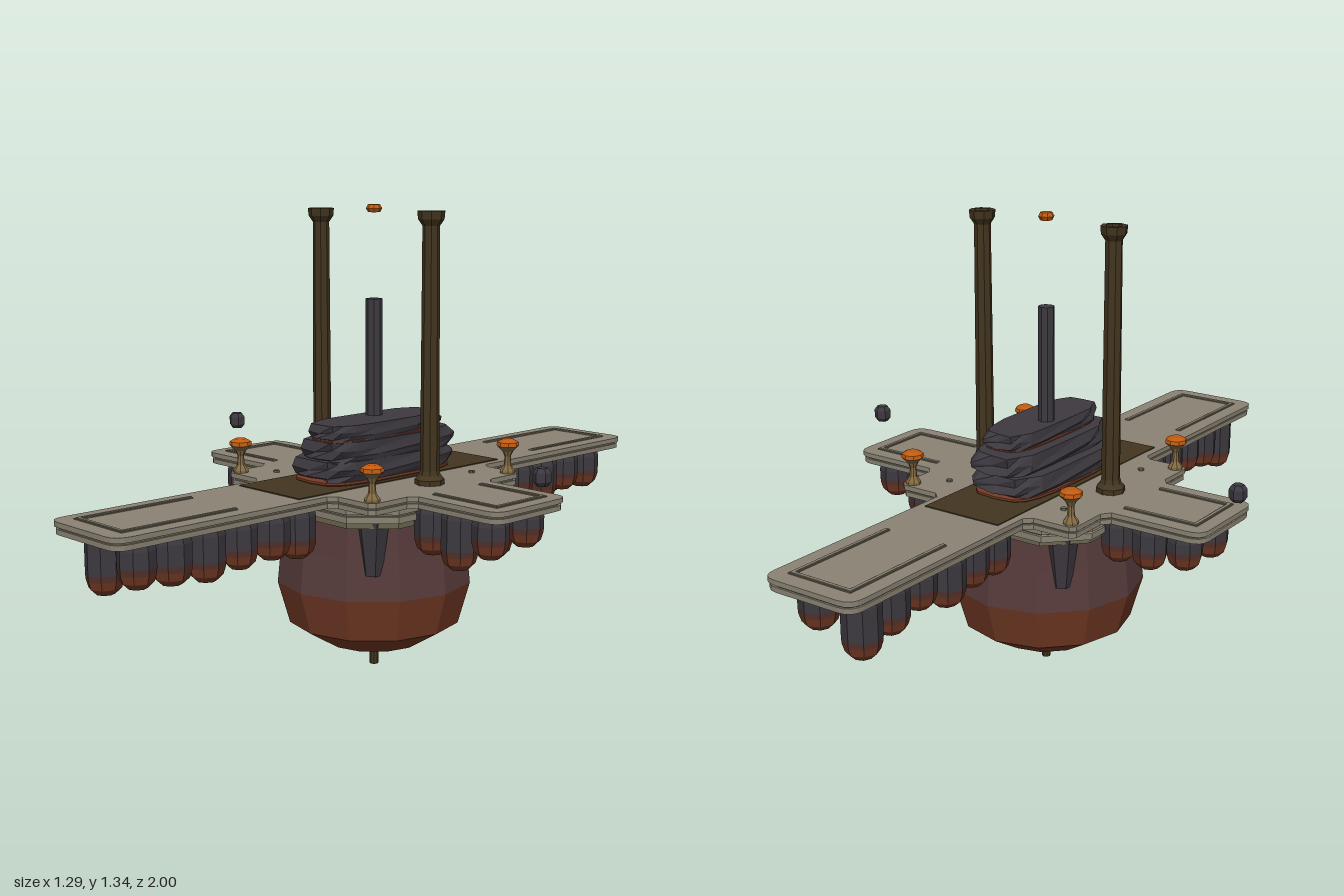
import * as THREE from 'three';

const mat = (name, color) => Object.assign(new THREE.MeshStandardMaterial({ color }), { name });

export function createModel() {
  const model = new THREE.Group();
  model.name = 'floatingPlatform';
  const stone = mat('stone', 0x8a8374), trim = mat('stoneTrim', 0x6c654f), rock = mat('darkRock', 0x3d3940);
  const rust = mat('rust', 0x743a24), maroon = mat('maroonRock', 0x573b3b), bronze = mat('darkBronze', 0x43351f);
  const brass = mat('brass', 0x836b42), ember = mat('ember', 0xc05a10), scorched = mat('scorchedRock', 0x52302a);

  // Faceted mesh helper
  const add = (name, geo, material, x = 0, y = 0, z = 0, parent = model) => {
    const g = geo.index ? geo.toNonIndexed() : geo;
    g.computeVertexNormals();
    const m = new THREE.Mesh(g, material);
    m.name = name;
    m.position.set(x, y, z);
    parent.add(m);
    return m;
  };
  const lathe = (pts, sides, phase = 0) =>
    new THREE.LatheGeometry(pts.map(([r, y]) => new THREE.Vector2(r, y)), sides, phase);
  const hash = (n) => { const s = Math.sin(n * 127.1 + 11.7) * 43758.5453; return s - Math.floor(s); };

  // Mirror one quadrant of [x, z, cornerRadius] into a closed outline
  const outline = (quad) => {
    const rev = [...quad].reverse();
    const pts = [
      ...quad, ...rev.map(([x, z, r]) => [-x, z, r]),
      ...quad.map(([x, z, r]) => [-x, -z, r]), ...rev.map(([x, z, r]) => [x, -z, r]),
    ];
    const s = new THREE.Shape();
    pts.forEach(([x, z, r], i) => {
      const p = new THREE.Vector2(x, z);
      const toward = (q) => new THREE.Vector2(q[0], q[1]).sub(p).setLength(r).add(p);
      const a = toward(pts[(i + pts.length - 1) % pts.length]), b = toward(pts[(i + 1) % pts.length]);
      if (i === 0) s.moveTo(a.x, a.y); else s.lineTo(a.x, a.y);
      if (r > 0) s.quadraticCurveTo(x, z, b.x, b.y);
    });
    s.closePath();
    return s;
  };
  const slab = (name, shape, top, depth, material) => {
    const g = new THREE.ExtrudeGeometry(shape, { depth, bevelEnabled: false, curveSegments: 4 });
    add(name, g.rotateX(Math.PI / 2), material, 0, top, 0);
  };
  const cross = (d) => outline([
    [0.6 - d, 0.145 - d, 0.045], [0.32 - d, 0.145 - d, 0], [0.3 - d, 0.17 - d, 0], [0.3 - d, 0.285 - d, 0],
    [0.285 - d, 0.3 - d, 0], [0.17 - d, 0.3 - d, 0], [0.148 - d, 0.32 - d, 0], [1 - d, 1 - d, 0.045],
  ].map((p, i) => (i === 7 ? [0.148 - d, 1 - d, 0.045] : p)));

  // Cross-shaped deck with stepped edge
  slab('deckTop', cross(0), 0.576, 0.014, stone);
  slab('deckGroove', cross(0.008), 0.562, 0.006, trim);
  slab('deckLower', cross(0.003), 0.556, 0.014, stone);

  // Stepped collar between deck and hull
  [[0.285, 0.542, 0.016, stone], [0.272, 0.526, 0.008, trim], [0.28, 0.518, 0.018, stone], [0.262, 0.5, 0.02, trim]]
    .forEach(([w, top, h, m]) => slab('collar',
      outline([[w, 0.12, 0], [w, w - 0.1, 0], [w - 0.1, w, 0], [0.12, w, 0]]), top, h, m));

  // Hull bowl and keel pin
  add('lowerHull', lathe([[0, 0.06], [0.145, 0.08], [0.252, 0.145], [0.287, 0.268]], 12), rust);
  add('upperHull', lathe([[0.287, 0.268], [0.275, 0.385]], 12), maroon);
  add('hullRim', lathe([[0.275, 0.385], [0.266, 0.5], [0, 0.5]], 12), maroon);
  add('keelPin', new THREE.CylinderGeometry(0.013, 0.013, 0.09, 8), bronze, 0, 0.045, 0);

  // Dark fangs on the hull diagonals
  for (let i = 0; i < 4; i++) {
    const g = new THREE.CylinderGeometry(0.048, 0.026, 0.16, 6);
    const a = Math.PI / 4 + (i * Math.PI) / 2;
    add('hullFang', g, rock, 0.258 * Math.sin(a), 0.42, 0.258 * Math.cos(a));
  }

  // Hanging rock pods with scorched tips
  const pod = (x, z, bottom, r) => {
    const pods = new THREE.Group();
    pods.name = 'hangingPod';
    pods.position.set(x, 0, z);
    model.add(pods);
    const mid = bottom + 0.058;
    add('podTip', lathe([[0, bottom], [r * 0.5, bottom + 0.003], [r * 0.85, bottom + 0.02], [r * 0.98, bottom + 0.042]], 8),
      rust, 0, 0, 0, pods);
    add('podBand', lathe([[r * 0.98, bottom + 0.042], [r, mid]], 8), scorched, 0, 0, 0, pods);
    add('podBody', lathe([[r, mid], [r, 0.52], [r * 0.86, 0.545]], 8), rock, 0, 0, 0, pods);
  };
  let seed = 1;
  const vary = (base) => base + (hash(seed++) - 0.5) * 0.035;
  for (const s of [-1, 1]) {
    for (const row of [-0.073, 0.068]) {
      [0.36, 0.45, 0.56, 0.67, 0.78, 0.885].forEach((d, i) =>
        pod(row, s * d, i === 5 && row < 0 ? 0.373 : vary(0.408), 0.049 + hash(seed) * 0.007));
      [0.3, 0.4, 0.51].forEach((d, i) =>
        pod(s * d, row, [0.4, s > 0 ? 0.375 : 0.4, 0.425][i] + (row > 0 ? 0 : 0.01), 0.051));
    }
  }

  // Dark runway strip
  add('runwayStrip', new THREE.BoxGeometry(0.25, 0.004, 0.8), bronze, 0, 0.577, 0);

  // Raised U-shaped ribs on the four arms
  const rib = (angle, from, to, half) => {
    const g = new THREE.Group();
    g.name = 'armRib';
    g.rotation.y = angle;
    model.add(g);
    for (const [w, h, m] of [[0.016, 0.004, trim], [0.009, 0.008, stone]]) {
      for (const s of [-1, 1])
        add('sideRib', new THREE.BoxGeometry(w, h, to - from), m, s * half, 0.577, (from + to) / 2, g);
      add('endRib', new THREE.BoxGeometry(half * 2 + w, h, w), m, 0, 0.577, to, g);
    }
  };
  for (const a of [0, Math.PI]) {
    rib(a, 0.59, 0.944, 0.095);
    rib(a + Math.PI / 2, 0.33, 0.552, 0.093);
  }

  // Stacked central boulders with ember glow beneath
  const boulder = (name, material, hx, hz, y0, y1, cx, cz, rough) => {
    const g = new THREE.CylinderGeometry(1, 1, 1, 18, 3);
    const p = g.attributes.position;
    for (let i = 0; i < p.count; i++) {
      const x = p.getX(i), y = p.getY(i), z = p.getZ(i), rad = Math.hypot(x, z);
      const soft = (v) => Math.sign(v) * Math.pow(Math.abs(v), 0.55);
      const key = Math.round(x * 50) + Math.round(z * 50) * 3.3 + Math.round(y * 6) * 7.1;
      const k = rad * (1 - rough * hash(key)) * (Math.abs(y) > 0.4 ? 0.95 : 1);
      p.setXYZ(i, cx + soft(x) * hx * k, y0 + (y + 0.5) * (y1 - y0) - (Math.abs(y) < 0.4 ? hash(key + 2) * rough * 0.1 : 0),
        cz + soft(z) * hz * k);
    }
    add(name, g, material);
  };
  boulder('emberBed', rust, 0.112, 0.255, 0.576, 0.595, 0, 0, 0);
  boulder('lowerBoulder', rock, 0.125, 0.268, 0.59, 0.646, 0, 0, 0.1);
  boulder('middleBoulder', rock, 0.106, 0.265, 0.642, 0.7, 0.016, -0.005, 0.12);
  boulder('emberSeam', rust, 0.076, 0.215, 0.694, 0.708, 0.03, 0.02, 0);
  boulder('topBoulder', rock, 0.082, 0.232, 0.702, 0.746, 0.03, 0.02, 0.1);

  // Central column and floating ember
  add('centralColumn', new THREE.CylinderGeometry(0.024, 0.024, 0.36, 8), rock, 0, 0.9, 0);
  const gem = [[0, -0.011], [0.017, -0.011], [0.023, 0], [0.017, 0.011], [0, 0.011]];
  add('floatingEmber', lathe(gem, 8), ember, 0, 1.333, 0);

  for (const s of [-1, 1]) {
    // Tall chimneys with hollow mouths
    add('chimney', lathe([[0.042, 0.575], [0.042, 0.59], [0.031, 0.602], [0.027, 0.615], [0.024, 1.29], [0.036, 1.308],
      [0.038, 1.33], [0.024, 1.33], [0.02, 1.29], [0, 1.29]], 8), bronze, s * 0.222, 0, 0);
    add('chimneyEmber', new THREE.CylinderGeometry(0.015, 0.015, 0.006, 8), ember, s * 0.222, 1.294, 0);

    // Floating side stones
    add('floatingStone', lathe([[0, -0.024], [0.016, -0.024], [0.025, -0.012], [0.025, 0.012], [0.016, 0.024], [0, 0.024]], 6),
      rock, s * 0.625, 0.655, 0);

    // Corner braziers
    for (const t of [-1, 1]) {
      add('brazier', lathe([[0.022, 0.575], [0.022, 0.583], [0.011, 0.598], [0.009, 0.625], [0.016, 0.64], [0.031, 0.655],
        [0.031, 0.664], [0, 0.664]], 8), brass, s * 0.273, 0, t * 0.273);
      add('brazierEmber', lathe([[0.033, 0.657], [0.031, 0.667], [0.017, 0.675], [0, 0.675]], 8), ember, s * 0.273, 0, t * 0.273);

      // Small deck studs
      add('deckStud', new THREE.CylinderGeometry(0.009, 0.009, 0.008, 6), trim, s * 0.2, 0.578, t * 0.2);
    }
  }
  return model;
}
